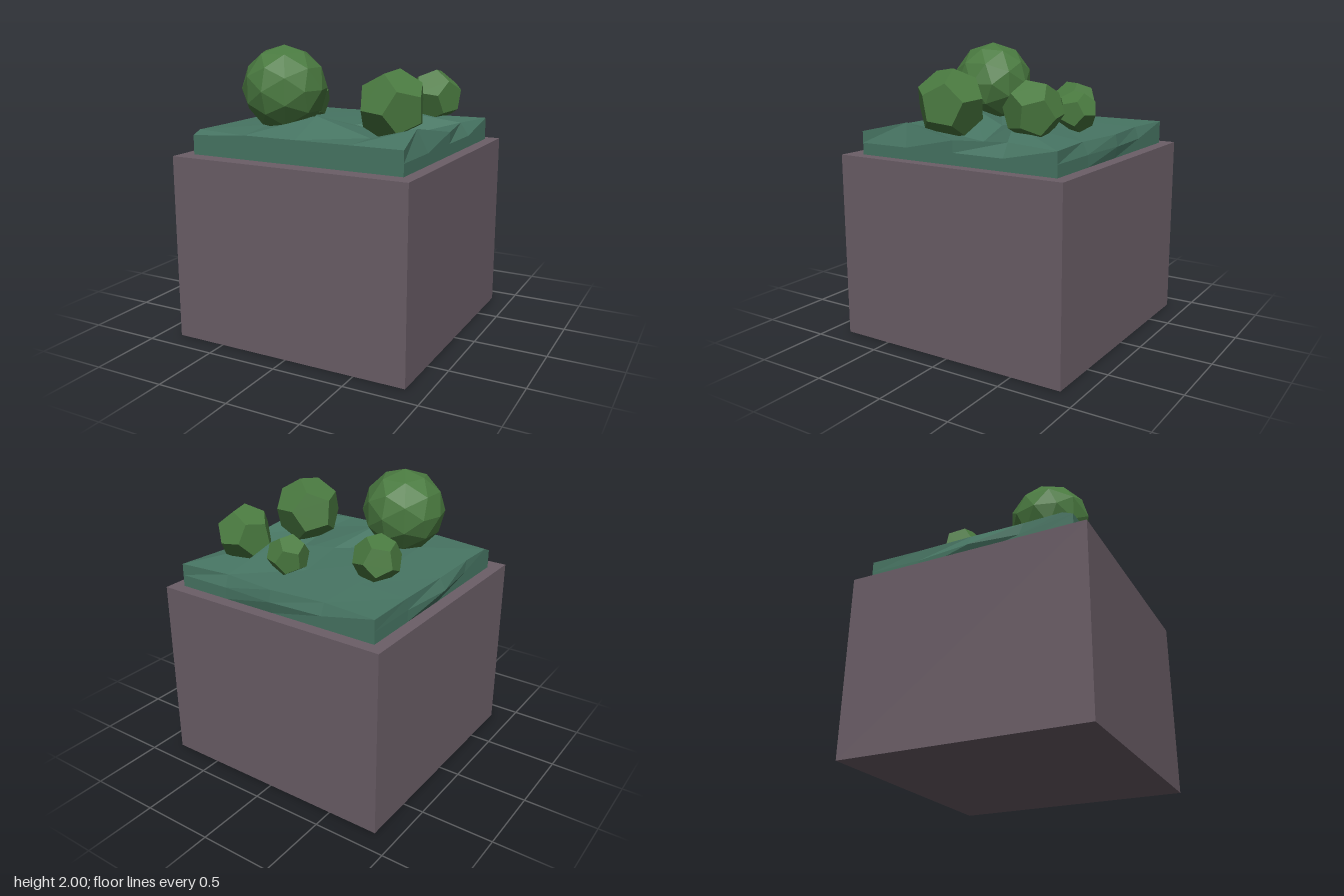
import * as THREE from 'three';

const material = (color, extra = {}) =>
  new THREE.MeshStandardMaterial({ color, flatShading: true, ...extra });

// Top surface of the ground: rows from back to front, points [x, y, z] from -x to +x
const TOP = [
  [[-0.77, 1.44, -0.77], [-0.39, 1.44, -0.74], [0, 1.44, -0.775], [0.39, 1.44, -0.735], [0.77, 1.44, -0.77]],
  [[-0.765, 1.44, -0.4], [-0.4, 1.45, -0.4], [0, 1.45, -0.4], [0.39, 1.515, -0.23], [0.71, 1.45, -0.39]],
  [[-0.77, 1.44, 0.01], [-0.42, 1.46, 0.08], [0.1, 1.45, 0.05], [0.4, 1.38, 0], [0.77, 1.44, -0.02]],
  [[-0.765, 1.44, 0.39], [-0.4, 1.46, 0.38], [-0.02, 1.545, 0.38], [0.41, 1.44, 0.45], [0.71, 1.515, 0.4]],
  [[-0.77, 1.44, 0.665], [-0.36, 1.44, 0.735], [0.025, 1.44, 0.735], [0.41, 1.44, 0.735], [0.77, 1.44, 0.735]],
];

function groundGeometry() {
  const pos = [];
  const quad = (a, b, c, d) => pos.push(...a, ...b, ...d, ...b, ...c, ...d);
  for (let j = 0; j < 4; j++)
    for (let i = 0; i < 4; i++) quad(TOP[j][i], TOP[j + 1][i], TOP[j + 1][i + 1], TOP[j][i + 1]);

  // Border walked counter-clockwise from above, as grid indices
  const border = [];
  for (let i = 0; i < 4; i++) border.push([i, 4]);
  for (let j = 4; j > 0; j--) border.push([4, j]);
  for (let i = 4; i > 0; i--) border.push([i, 0]);
  for (let j = 0; j < 4; j++) border.push([0, j]);

  // Walls: a bulging middle ring above a straight bottom ring
  const zAt = (j) => -0.77 + j * 1.505 / 4;
  const middle = ([i, j]) => {
    if (i === 0 && j === 4) return [-0.77, 1.41, 0.735];
    if (i === 0 && j === 2) return [-0.81, 1.36, 0.01];
    if (i === 2 && j === 0) return [0, 1.36, -0.79];
    return [(i - 2) * 0.385, 1.36, zAt(j)];
  };
  const bottom = ([i, j]) => [(i - 2) * 0.385, 1.28, zAt(j)];
  border.forEach((p, k) => {
    const q = border[(k + 1) % border.length];
    quad(TOP[p[1]][p[0]], middle(p), middle(q), TOP[q[1]][q[0]]);
    quad(middle(p), bottom(p), bottom(q), middle(q));
  });

  const geo = new THREE.BufferGeometry();
  geo.setAttribute('position', new THREE.Float32BufferAttribute(pos, 3));
  geo.computeVertexNormals();
  return geo;
}

export function createModel() {
  const model = new THREE.Group();
  model.name = 'plantedBlock';
  const add = (name, geo, mat, x = 0, y = 0, z = 0) => {
    const mesh = new THREE.Mesh(geo, mat);
    mesh.name = name;
    mesh.position.set(x, y, z);
    model.add(mesh);
    return mesh;
  };

  // Stone block
  add('base', new THREE.BoxGeometry(1.71, 1.28, 1.71), material(0x6b5e67), 0, 0.64, 0);

  // Uneven grass slab
  add('ground', groundGeometry(), material(0x477563, { side: THREE.DoubleSide }));

  // Bushes: one large round one and four faceted ones
  const leaf = material(0x4a7a40);
  add('largeBush', new THREE.IcosahedronGeometry(0.288, 1), leaf, -0.27, 1.717, 0.37);
  [
    [0.46, 1.63, 0.225, 0.24, 0.5, 0.3, 0.4],
    [0.49, 1.625, -0.44, 0.195, 0.3, 0.6, 0.2],
    [0.06, 1.58, -0.515, 0.14, 0.2, 0.2, 0.5],
    [-0.44, 1.575, -0.235, 0.165, 0.4, 0.1, 0.3],
  ].forEach(([x, y, z, r, rx, ry, rz], k) => {
    add(`bush${k + 1}`, new THREE.DodecahedronGeometry(r), leaf, x, y, z).rotation.set(rx, ry, rz);
  });

  return model;
}
